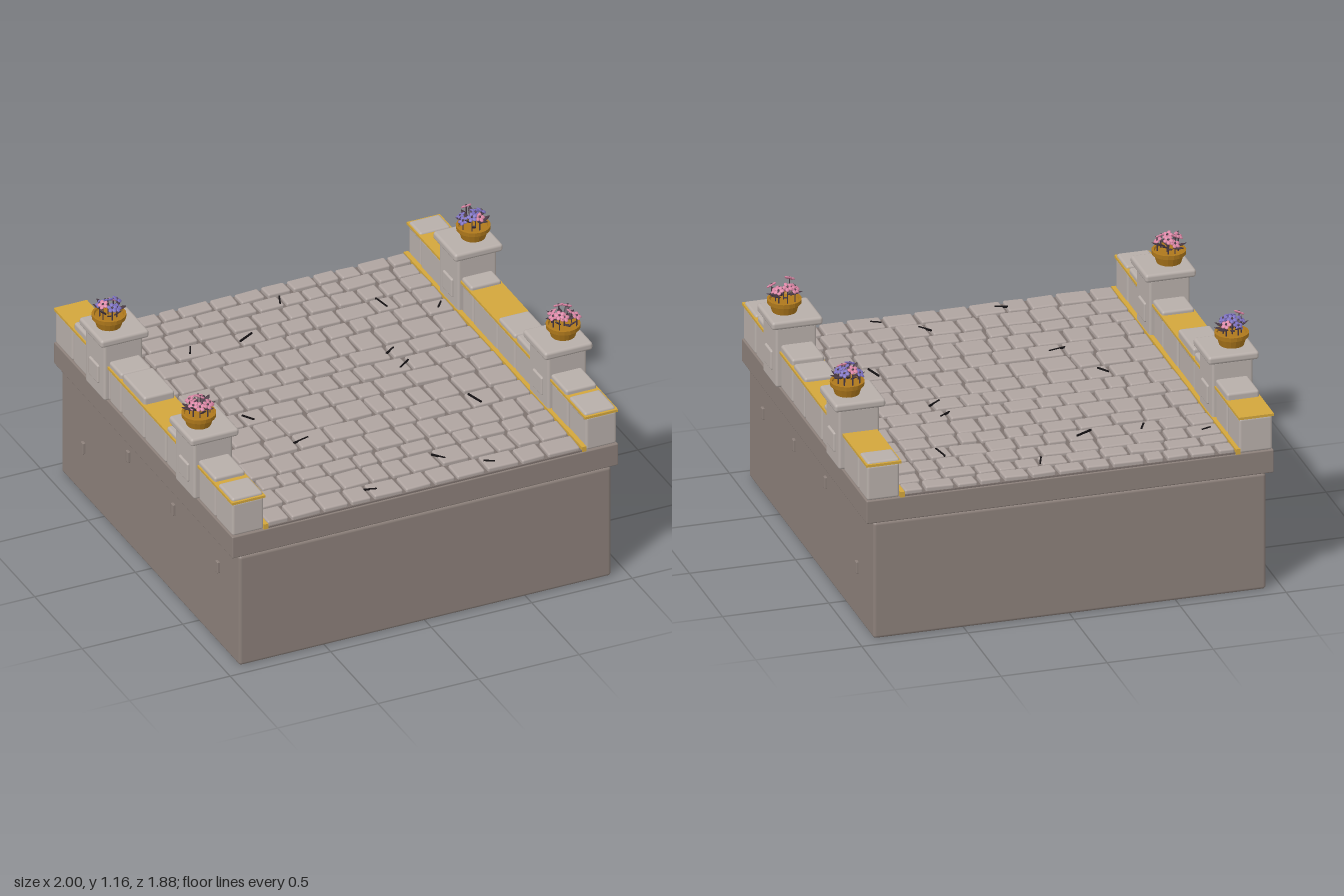
import * as THREE from 'three';
import { mergeGeometries } from 'three/addons/utils/BufferGeometryUtils.js';
import { RoundedBoxGeometry } from 'three/addons/geometries/RoundedBoxGeometry.js';

const mat = (name, color, side = THREE.FrontSide) => {
  const m = new THREE.MeshStandardMaterial({ color, side });
  m.name = name;
  return m;
};

export function createModel() {
  const M = {
    base: mat('foundation stone', 0x8b7f79),
    wall: mat('wall stone', 0xb7aea9),
    paving: mat('paving stone', 0xafa4a0),
    mortar: mat('mortar', 0x7d726e),
    gold: mat('gold trim', 0xd2a63c),
    pot: mat('pot clay', 0xae781c, THREE.DoubleSide),
    purple: mat('purple petal', 0x7c70c0),
    pink: mat('pink petal', 0xd985a4),
    leaf: mat('dark leaf', 0x4a3a45, THREE.DoubleSide),
    crack: mat('crack black', 0x151214),
  };
  const group = new THREE.Group();
  let seed = 11;
  const rnd = (a = 0, b = 1) => {
    seed = (seed * 16807) % 2147483647;
    return a + (b - a) * seed / 2147483647;
  };
  const add = (name, geometry, material, parent = group) => {
    const mesh = new THREE.Mesh(geometry, material);
    mesh.name = name;
    parent.add(mesh);
    return mesh;
  };
  // rounded box from its minimum and maximum corners
  const block = (x0, x1, y0, y1, z0, z1, r = 0.01, seg = 2) =>
    new RoundedBoxGeometry(x1 - x0, y1 - y0, z1 - z0, seg, r)
      .translate((x0 + x1) / 2, (y0 + y1) / 2, (z0 + z1) / 2);

  // foundation, deck slab and mortar bed
  add('foundation', block(-0.925, 0.925, 0, 0.572, -0.94, 0.94, 0.015, 3), M.base);
  add('deckSlab', block(-0.96, 0.96, 0.572, 0.685, -0.945, 0.94, 0.006), M.base);
  add('mortarBed', new THREE.BoxGeometry(1.57, 0.01, 1.875).translate(0, 0.688, -0.003), M.mortar);

  // small raised stones on both foundation flanks
  const studs = [];
  for (const s of [-1, 1])
    for (const [z, y] of [[0.72, 0.405], [0.25, 0.45], [-0.225, 0.468], [-0.7, 0.255]])
      studs.push(block(s * 0.925 - 0.012, s * 0.925 + 0.012, y - 0.029, y + 0.029, z - 0.013, z + 0.013, 0.004));
  add('flankStuds', mergeGeometries(studs), M.base);

  // uneven paving stones, laid row by row
  const rowEdges = [-0.945, -0.85, -0.75, -0.633, -0.515, -0.4, -0.25, -0.13, -0.003,
    0.125, 0.275, 0.41, 0.56, 0.665, 0.807, 0.937];
  const stones = [];
  for (let i = 0; i < 15; i++) {
    const z0 = rowEdges[i], z1 = rowEdges[i + 1];
    const widths = [];
    let sum = 0;
    while (sum < 1.5) {
      const w = rnd(0.09, 0.175);
      widths.push(w);
      sum += w;
    }
    let x = -0.785;
    for (const w of widths) {
      const width = w * 1.57 / sum, depth = z1 - z0;
      const h = 0.024 + rnd(0, 0.006);
      const g = new RoundedBoxGeometry(width - 0.016, h, depth - 0.017, 2, 0.009);
      const p = g.attributes.position;
      const skewX = rnd(-0.05, 0.05), skewZ = rnd(-0.04, 0.04), tilt = rnd(-0.025, 0.025);
      for (let k = 0; k < p.count; k++) {
        const px = p.getX(k), pz = p.getZ(k);
        p.setXYZ(k, px + skewX * pz, p.getY(k) + tilt * px, pz + skewZ * px);
      }
      stones.push(g.translate(x + width / 2, 0.685 + h / 2, (z0 + z1) / 2));
      x += width;
    }
  }
  add('pavingStones', mergeGeometries(stones), M.paving);

  // cracks across some of the paving: x, z, length, angle
  const cracks = [[-0.72, -0.69, 0.05, 0.35], [-0.455, -0.577, 0.06, 1.1], [-0.18, -0.572, 0.09, 0.5],
    [0.095, -0.8, 0.065, 1.2], [0.5, -0.585, 0.09, -1.4], [0.73, -0.46, 0.05, 0.9],
    [0.355, -0.19, 0.065, 0.6], [0.365, -0.06, 0.08, 0.65], [-0.47, 0.065, 0.065, -1],
    [-0.34, 0.345, 0.085, 0.25], [0.525, 0.345, 0.09, -1.3], [0.35, 0.87, 0.05, -0.5],
    [-0.24, 0.865, 0.06, -0.3], [0.16, 0.735, 0.07, -0.9]];
  add('pavingCracks', mergeGeometries(cracks.map(([x, z, l, a]) =>
    new THREE.BoxGeometry(l, 0.008, 0.007).rotateY(a).translate(x, 0.7125, z))), M.crack);

  // parapets: wall blocks, trim, and raised coping stones
  const courses = {
    '-1': {
      joints: [-0.943, -0.755, -0.58, -0.37, -0.245, 0, 0.228, 0.37, 0.57, 0.752, 0.935],
      caps: [[-0.748, -0.57, 0.895], [-0.38, -0.25, 0.89], [-0.237, -0.005, 0.9],
        [0.23, 0.38, 0.882], [0.56, 0.738, 0.885], [0.772, 0.925, 0.876]],
    },
    '1': {
      joints: [-0.943, -0.807, -0.58, -0.375, -0.255, 0.005, 0.19, 0.37, 0.57, 0.748, 0.935],
      caps: [[-0.935, -0.815, 0.872], [-0.38, -0.277, 0.882], [0.01, 0.183, 0.882],
        [0.2, 0.38, 0.893], [0.56, 0.728, 0.886], [0.755, 0.925, 0.874]],
    },
  };
  for (const s of [-1, 1]) {
    const side = new THREE.Group();
    side.name = s > 0 ? 'leftParapet' : 'rightParapet';
    group.add(side);
    const span = (a, b) => (s > 0 ? [a, b] : [-b, -a]);
    const { joints, caps } = courses[s];
    const wall = [];
    for (let i = 0; i + 1 < joints.length; i++)
      wall.push(block(...span(0.798 + rnd(0, 0.006), 0.955), 0.683, 0.853, joints[i] + 0.004, joints[i + 1] - 0.004, 0.012));
    for (const [z0, z1, top] of caps)
      wall.push(block(...span(0.8, 0.953), 0.83, top, z0, z1, 0.012));
    add('wallBlocks', mergeGeometries(wall), M.wall, side);
    const strip = (x0, x1, y0, y1) =>
      new THREE.BoxGeometry(x1 - x0, y1 - y0, 1.882).translate(s * (x0 + x1) / 2, (y0 + y1) / 2, -0.004);
    add('copingTrim', strip(0.795, 0.96, 0.851, 0.863), M.gold, side);
    add('floorTrim', strip(0.78, 0.802, 0.683, 0.71), M.gold, side);

    // pillars with caps, side panels and flower pots
    for (const z of [-0.478, 0.47]) {
      const pillar = new THREE.Group();
      pillar.name = 'pillar';
      pillar.position.set(s * 0.88, 0, z);
      side.add(pillar);
      add('pillarShaft', block(-0.096, 0.096, 0.684, 0.98, -0.1, 0.1, 0.012), M.wall, pillar);
      add('pillarCap', block(-0.12, 0.12, 0.975, 1.015, -0.12, 0.12, 0.014), M.wall, pillar);
      add('pillarPanels', block(-0.106, 0.106, 0.752, 0.846, -0.049, 0.049, 0.008), M.wall, pillar);

      const planter = new THREE.Group();
      planter.name = 'planter';
      planter.position.set(s * 0.026, 1.014, 0);
      pillar.add(planter);
      const profile = [[0, 0], [0.056, 0], [0.068, 0.04], [0.078, 0.042], [0.079, 0.062],
        [0.068, 0.063], [0.064, 0.054], [0, 0.052]].map(([x, y]) => new THREE.Vector2(x, y));
      const potGeo = new THREE.LatheGeometry(profile, 18).toNonIndexed();
      potGeo.computeVertexNormals();
      add('pot', potGeo, M.pot, planter);

      // leaves fan outward; five-petal blossoms stand above them
      const leaves = [], petals = { purple: [], pink: [] };
      for (let i = 0; i < 9; i++) {
        const a = i * 2.4 + z;
        leaves.push(new THREE.SphereGeometry(1, 6, 4).scale(0.033, 0.004, 0.012)
          .rotateZ(rnd(0.2, 0.8)).translate(0.05, rnd(0.075, 0.105), 0).rotateY(a));
      }
      for (let i = 0; i < 8; i++) {
        const a = i * 0.8 + s + z, r = i === 0 ? 0.01 : rnd(0.035, 0.065), y = rnd(0.095, 0.14);
        const cx = Math.cos(a) * r, cz = Math.sin(a) * r;
        leaves.push(new THREE.CylinderGeometry(0.003, 0.003, y - 0.05, 4).translate(cx, (y + 0.05) / 2, cz));
        const purple = z < 0 && (i % 4 !== 1);
        for (let k = 0; k < 5; k++)
          petals[purple ? 'purple' : 'pink'].push(new THREE.SphereGeometry(1, 7, 5)
            .scale(0.012, 0.005, 0.01).translate(0.014, 0, 0).rotateY(k * Math.PI * 0.4)
            .rotateX(Math.sin(a) * 0.6).rotateZ(-Math.cos(a) * 0.6).translate(cx, y, cz));
        leaves.push(new THREE.SphereGeometry(0.006, 6, 4).translate(cx, y + 0.003, cz));
      }
      add('leaves', mergeGeometries(leaves), M.leaf, planter);
      for (const c of ['purple', 'pink'])
        if (petals[c].length) add(c + 'Blossoms', mergeGeometries(petals[c]), M[c], planter);
    }
  }
  return group;
}
